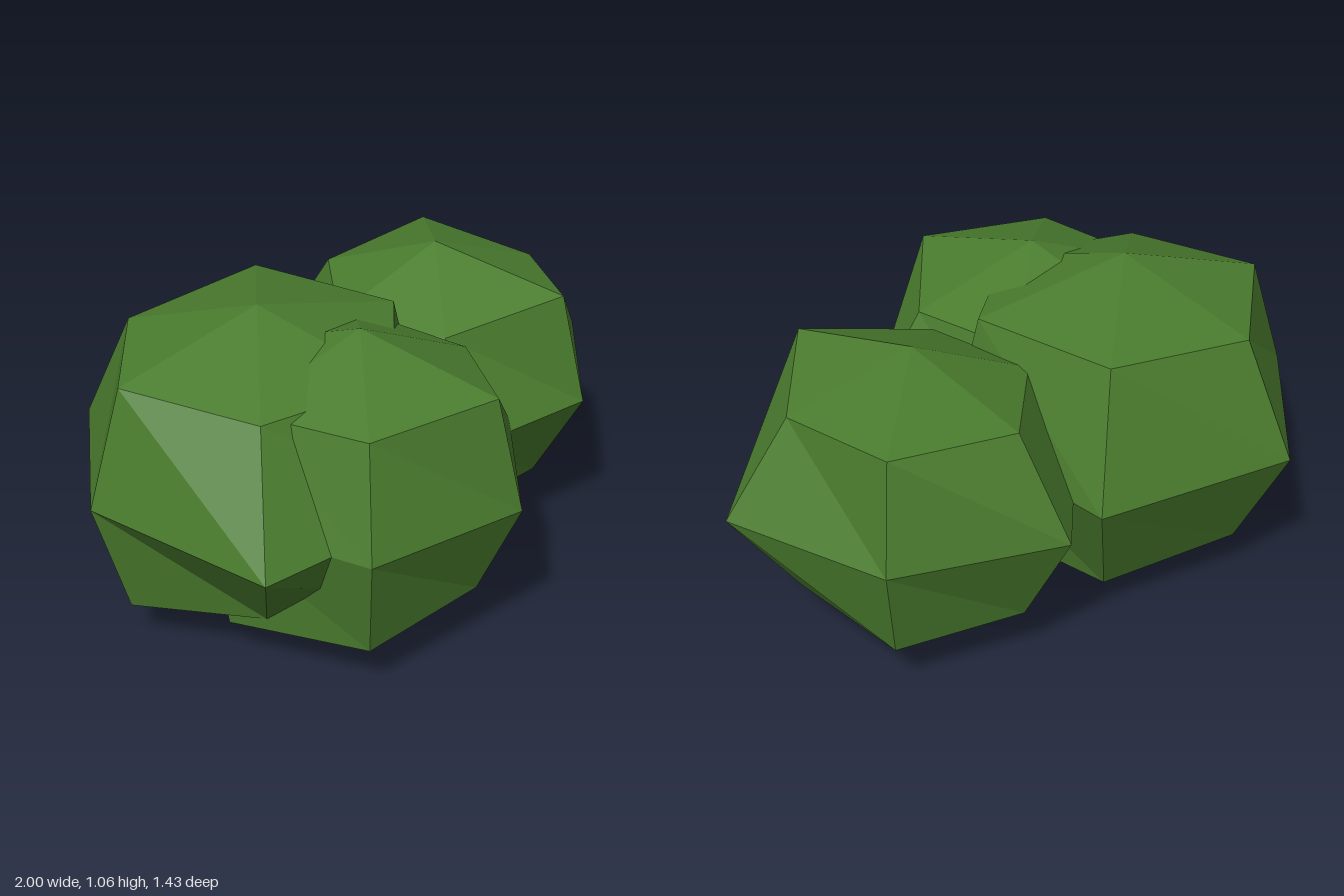
import * as THREE from 'three';

const SQUASH = 0.8; // height of each clump relative to its width
const CENTRE_Y = 0.537;

// One leafy clump: a six-sided, four-band sphere whose vertices are pushed in or out along their own direction.
// rings: pole, upper, middle, lower, pole; each ring runs left-hand side (-x), front, +x, back.
function makeClump(name, x, z, rings, material) {
  const sphere = new THREE.SphereGeometry(1, 6, 4);
  const pos = sphere.attributes.position;
  for (let i = 0; i < pos.count; i++) {
    const ring = rings[Math.floor(i / 7)];
    const r = ring[(i % 7) % ring.length];
    pos.setXYZ(i, pos.getX(i) * r, pos.getY(i) * r * SQUASH, pos.getZ(i) * r);
  }
  const geometry = sphere.toNonIndexed();
  geometry.computeVertexNormals();
  const mesh = new THREE.Mesh(geometry, material);
  mesh.name = name;
  mesh.position.set(x, CENTRE_Y, z);
  return mesh;
}

export function createModel() {
  const group = new THREE.Group();
  group.name = 'bush';
  const leaf = new THREE.MeshStandardMaterial({ color: 0x4a7c2e });
  leaf.name = 'leaf green';
  leaf.flatShading = true;

  // Large clump at the back
  group.add(makeClump('largeClump', -0.4, -0.02, [
    [0.66],
    [0.68, 0.64, 0.66, 0.71, 0.735, 0.665],
    [0.6, 0.74, 0.65, 0.6, 0.71, 0.65],
    [0.69, 0.595, 0.66, 0.7, 0.71, 0.66],
    [0.67],
  ], leaf));

  // Clump at the front
  group.add(makeClump('frontClump', -0.19, 0.23, [
    [0.617],
    [0.6, 0.62, 0.645, 0.56, 0.61, 0.62],
    [0.54, 0.555, 0.545, 0.58, 0.56, 0.56],
    [0.69, 0.645, 0.57, 0.59, 0.61, 0.61],
    [0.62],
  ], leaf));

  // Clump at the side
  group.add(makeClump('sideClump', 0.39, -0.2, [
    [0.587],
    [0.54, 0.54, 0.65, 0.565, 0.635, 0.566],
    [0.55, 0.6, 0.548, 0.61, 0.53, 0.595],
    [0.59, 0.61, 0.54, 0.55, 0.61, 0.6],
    [0.59],
  ], leaf));

  return group;
}
